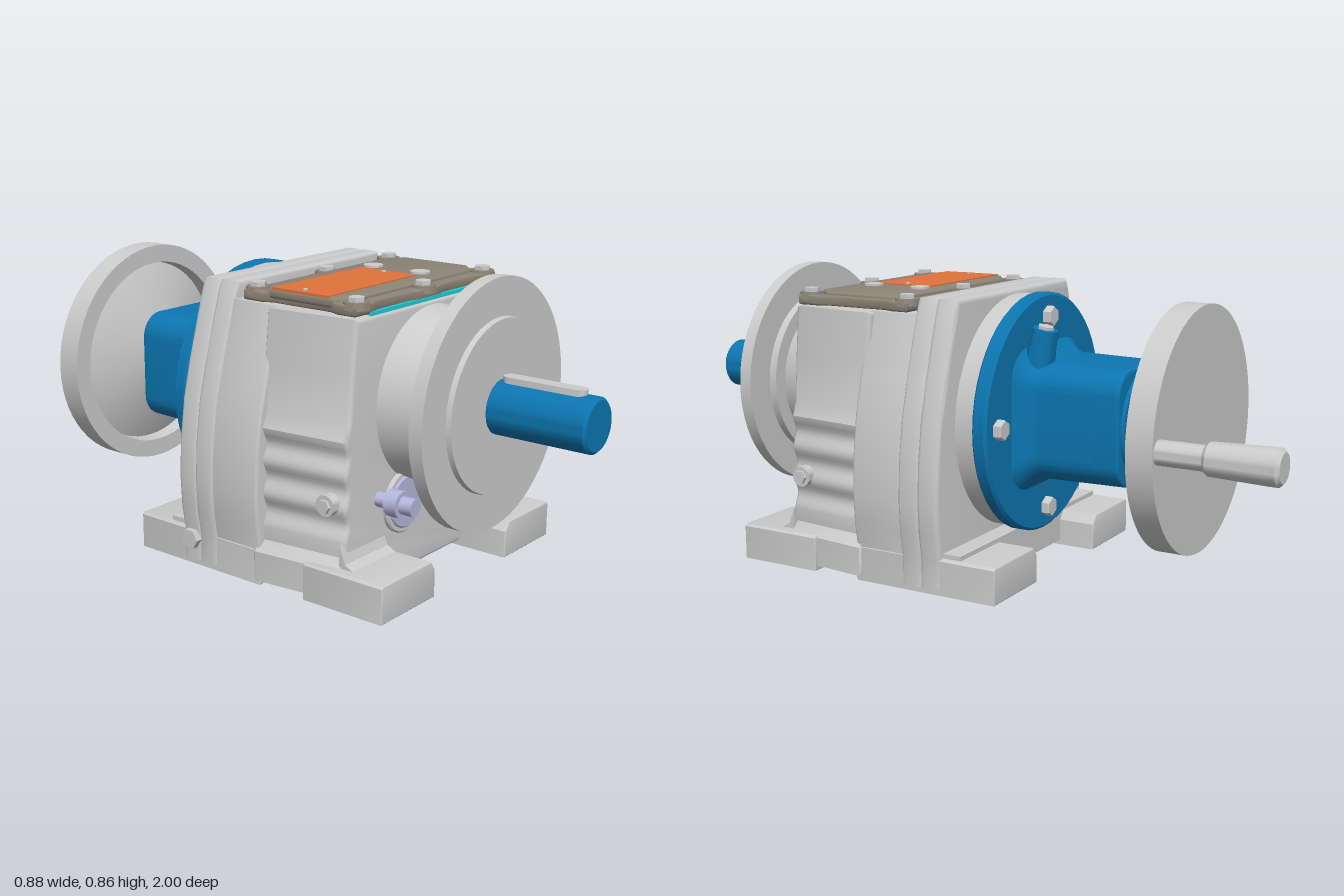
import * as THREE from 'three';
import { toCreasedNormals } from 'three/addons/utils/BufferGeometryUtils.js';

const mat = (color) => new THREE.MeshStandardMaterial({ color });

export function createModel() {
  const root = new THREE.Group();
  const grey = mat(0xcccccc), blue = mat(0x0c76b0), lidGrey = mat(0x8c8476);
  const orange = mat(0xe0733c), cyan = mat(0x20d0d8), lavender = mat(0xb4b8dc);
  const OUT = 0.51, IN = 0.46; // heights of the output and input axes

  function add(name, geo, m = grey, x = 0, y = 0, z = 0) {
    const mesh = new THREE.Mesh(toCreasedNormals(geo, 0.55), m);
    mesh.name = name;
    mesh.position.set(x, y, z);
    root.add(mesh);
    return mesh;
  }
  // turned part along z, profile [radius, z] from back to front
  const turned = (pts, seg = 64) =>
    new THREE.LatheGeometry(pts.map(([r, z]) => new THREE.Vector2(r, z)), seg).rotateX(Math.PI / 2);
  const rod = (r, z0, z1, c = 0.004, seg = 48) =>
    turned([[0, z0], [r - c, z0], [r, z0 + c], [r, z1 - c], [r - c, z1], [0, z1]], seg);
  const box = (x0, x1, y0, y1, z0, z1) =>
    new THREE.BoxGeometry(x1 - x0, y1 - y0, z1 - z0).translate((x0 + x1) / 2, (y0 + y1) / 2, (z0 + z1) / 2);
  const shapeOf = (pts) => new THREE.Shape(pts.map(([x, y]) => new THREE.Vector2(x, y)));
  // extrusion from z0 to z1, bevel kept inside those limits and inside the outline
  function slab(shape, z0, z1, bevel = 0, steps = 1) {
    return new THREE.ExtrudeGeometry(shape, {
      depth: z1 - z0 - 2 * bevel, steps, curveSegments: 8, bevelEnabled: bevel > 0,
      bevelSize: bevel, bevelOffset: -bevel, bevelThickness: bevel, bevelSegments: 3,
    }).translate(0, 0, z0 + bevel);
  }
  const mirrored = (half) => shapeOf([...half, ...half.map(([x, y]) => [-x, y]).reverse()]);
  // scale x by a rule of z
  function taper(geo, rule) {
    const p = geo.attributes.position;
    for (let i = 0; i < p.count; i++) p.setX(i, p.getX(i) * rule(p.getZ(i)));
    return geo;
  }

  // housing: narrow rippled front, full-width middle and rear rim
  const side = [[0.42, 0.015], [0.42, 0.1], [0.432, 0.17], [0.437, 0.26], [0.432, 0.37],
    [0.415, 0.49], [0.39, 0.59], [0.355, 0.71]];
  const ripple = [[0.40, 0.015], [0.40, 0.1], [0.375, 0.13]];
  for (let i = 0; i <= 24; i++) {
    ripple.push([0.371 + 0.007 * Math.cos((i / 24) * Math.PI * 6), 0.17 + (i / 24) * 0.28]);
  }
  ripple.push([0.362, 0.49], [0.352, 0.62], [0.337, 0.77]);
  add('housingFront', taper(slab(mirrored(ripple), 0.2, 0.48, 0.012),
    (z) => 1 + 0.08 * (0.48 - z) / 0.28));
  add('housingMiddle', slab(mirrored([...side, [0.338, 0.772]]), 0.05, 0.22, 0.008));
  const rim = [...side.map(([x, y]) => [x + 0.005, y]), [0.335, 0.79], [0.322, 0.818]];
  add('housingRear', slab(mirrored(rim), -0.005, 0.062, 0.01));
  add('housingRearCover', slab(mirrored(rim), -0.068, 0.002, 0.014));
  add('inputSpacer', rod(0.345, -0.128, -0.06), grey, 0, IN);
  add('rearSkirt', box(-0.41, 0.41, 0.015, 0.12, -0.125, -0.06));

  // feet and base rails
  const foot = [[0.18, 0], [0.422, 0], [0.422, 0.1], [0.415, 0.107], [0.2, 0.107], [0.18, 0.08]];
  for (const s of [1, -1]) {
    const pts = foot.map(([x, y]) => [s * x, y]);
    add('frontFoot', slab(shapeOf(pts), 0.37, 0.635, 0.004));
    add('rearFoot', slab(shapeOf(pts), -0.24, 0.22, 0.004));
    // fillet between the front foot and the housing
    const web = slab(shapeOf([[0.47, 0.1], [0.53, 0.1], [0.49, 0.12], [0.47, 0.17]]), 0, 0.19);
    add('footFillet', web.rotateY(-Math.PI / 2), grey, s > 0 ? 0.39 : -0.2);
    // side plug
    add('sidePlug', new THREE.CylinderGeometry(0.03, 0.03, 0.03, 24).rotateZ(Math.PI / 2), grey, s * 0.388, 0.275, 0.43);
    add('sidePlugHead', new THREE.CylinderGeometry(0.02, 0.02, 0.02, 6).rotateZ(Math.PI / 2), grey, s * 0.402, 0.275, 0.43);
  }
  add('drainPlug', new THREE.CylinderGeometry(0.03, 0.03, 0.03, 6).rotateZ(Math.PI / 2), grey, -0.428, 0.08, -0.03);

  // front bosses, sight disc and breather
  add('frontBoss', rod(0.115, 0.46, 0.49), grey, 0.17, 0.25);
  add('sightRing', rod(0.09, 0.46, 0.492), grey, -0.12, 0.225);
  add('sightDisc', rod(0.075, 0.47, 0.498), lavender, -0.12, 0.225);
  add('breather', turned([[0, 0.46], [0.022, 0.46], [0.022, 0.52], [0.038, 0.52], [0.038, 0.56],
    [0.025, 0.56], [0.025, 0.6], [0, 0.6]], 12), lavender, -0.23, 0.26);

  // output neck, flange, shaft and key
  add('outputNeck', turned([[0, 0.46], [0.252, 0.46], [0.245, 0.5], [0.215, 0.635], [0, 0.635]]), grey, 0, OUT);
  add('outputFlange', turned([[0, 0.63], [0.26, 0.63], [0.26, 0.655], [0.35, 0.655], [0.35, 0.695],
    [0.243, 0.695], [0.24, 0.71], [0, 0.71]]), grey, 0, OUT);
  add('outputShaft', rod(0.076, 0.69, 1, 0.008), blue, 0, OUT);
  const key = new THREE.Shape();
  key.absarc(0, 0.13, 0.022, 0, Math.PI).absarc(0, -0.07, 0.022, Math.PI, 2 * Math.PI);
  add('shaftKey', slab(key, 0, 0.05).rotateX(-Math.PI / 2), grey, 0, 0.55, 0.87);

  // top lid with gasket, scalloped edge, bosses and bolts
  add('lidGasket', box(-0.27, 0.27, 0.765, 0.779, 0.1, 0.474), cyan);
  const lid = [[0.335, -0.19], [0.335, -0.13], [0.322, -0.1], [0.322, 0.1], [0.335, 0.13],
    [0.335, 0.19], [0.26, 0.19], [0.23, 0.182], [0.08, 0.182], [0.05, 0.19]];
  const lidShape = mirrored([[0.05, -0.19], [0.08, -0.182], [0.23, -0.182], [0.26, -0.19], ...lid]);
  add('lid', slab(lidShape, 0, 0.03, 0.006).rotateX(-Math.PI / 2), lidGrey, 0, 0.774, 0.282);
  const panel = shapeOf([[-0.325, -0.11], [-0.27, -0.15], [0.27, -0.15], [0.31, -0.11],
    [0.31, 0.11], [0.27, 0.15], [-0.27, 0.15], [-0.325, 0.11]]);
  add('lidPanel', slab(panel, 0, 0.03, 0.008).rotateX(-Math.PI / 2), lidGrey, 0, 0.785, 0.282);
  for (const x of [-0.3, 0, 0.3]) for (const z of [0.115, 0.45]) {
    add('lidBoss', new THREE.CylinderGeometry(0.034, 0.038, 0.02, 24), lidGrey, x, 0.8, z);
    add('lidBolt', new THREE.CylinderGeometry(0.023, 0.023, 0.014, 6), grey, x, 0.815, z);
  }
  for (const z of [0.195, 0.36]) {
    add('lidPlug', new THREE.CylinderGeometry(0.029, 0.029, 0.02, 24), grey, 0.115, 0.811, z);
  }
  add('namePlate', box(-0.325, 0.072, 0.811, 0.818, 0.185, 0.377), orange);
  for (const x of [-0.3, 0.05]) {
    add('plateRivet', new THREE.CylinderGeometry(0.007, 0.007, 0.006, 12), grey, x, 0.819, 0.28);
  }

  // input flange and rounded-square input body
  add('inputFlange', rod(0.352, -0.17, -0.123, 0.008), blue, 0, IN);
  const h = 0.168, c = 0.075, sq = new THREE.Shape();
  sq.absarc(h - c, h - c, c, 0, Math.PI / 2).absarc(c - h, h - c, c, Math.PI / 2, Math.PI)
    .absarc(c - h, c - h, c, Math.PI, 1.5 * Math.PI).absarc(h - c, c - h, c, 1.5 * Math.PI, 2 * Math.PI);
  const body = slab(sq, -0.482, -0.16, 0.006, 24), p = body.attributes.position;
  for (let i = 0; i < p.count; i++) {
    const d = -0.165 - p.getZ(i); // distance behind the flange
    const f = Math.max(0, 1 - d / 0.07), s = 1.02 - 0.1 * Math.max(0, d) + 0.25 * f * f;
    p.setXY(i, p.getX(i) * s, p.getY(i) * s);
  }
  add('inputBody', body, blue, 0, IN);
  add('inputEndCap', rod(0.155, -0.492, -0.47), blue, 0, IN);
  const boss = add('inputBoss', new THREE.CylinderGeometry(0.036, 0.05, 0.17, 24), blue, 0.105, 0.64, -0.205);
  boss.rotation.x = -0.2;
  const bossPlug = add('inputBossPlug', new THREE.CylinderGeometry(0.024, 0.024, 0.02, 6), grey, 0.105, 0.722, -0.222);
  bossPlug.rotation.x = -0.2;
  for (let i = 0; i < 4; i++) {
    const a = (i * Math.PI) / 2;
    add('flangeBolt', rod(0.03, -0.194, -0.165, 0.003, 6), grey, 0.285 * Math.cos(a), IN + 0.285 * Math.sin(a));
  }

  // hand wheel with dished front and crank handle
  add('wheelHub', rod(0.077, -0.545, -0.485), grey, 0, IN);
  add('handWheel', turned([[0, -0.664], [0.35, -0.664], [0.35, -0.587], [0.295, -0.587], [0.29, -0.632],
    [0.08, -0.542], [0, -0.542]]), grey, 0, IN);
  add('handleRod', rod(0.034, -0.82, -0.64), grey, 0.31, IN);
  add('handleGrip', turned([[0, -1], [0.04, -1], [0.05, -0.99], [0.05, -0.96], [0.045, -0.805],
    [0.037, -0.795], [0, -0.795]], 32), grey, 0.31, IN);
  return root;
}
